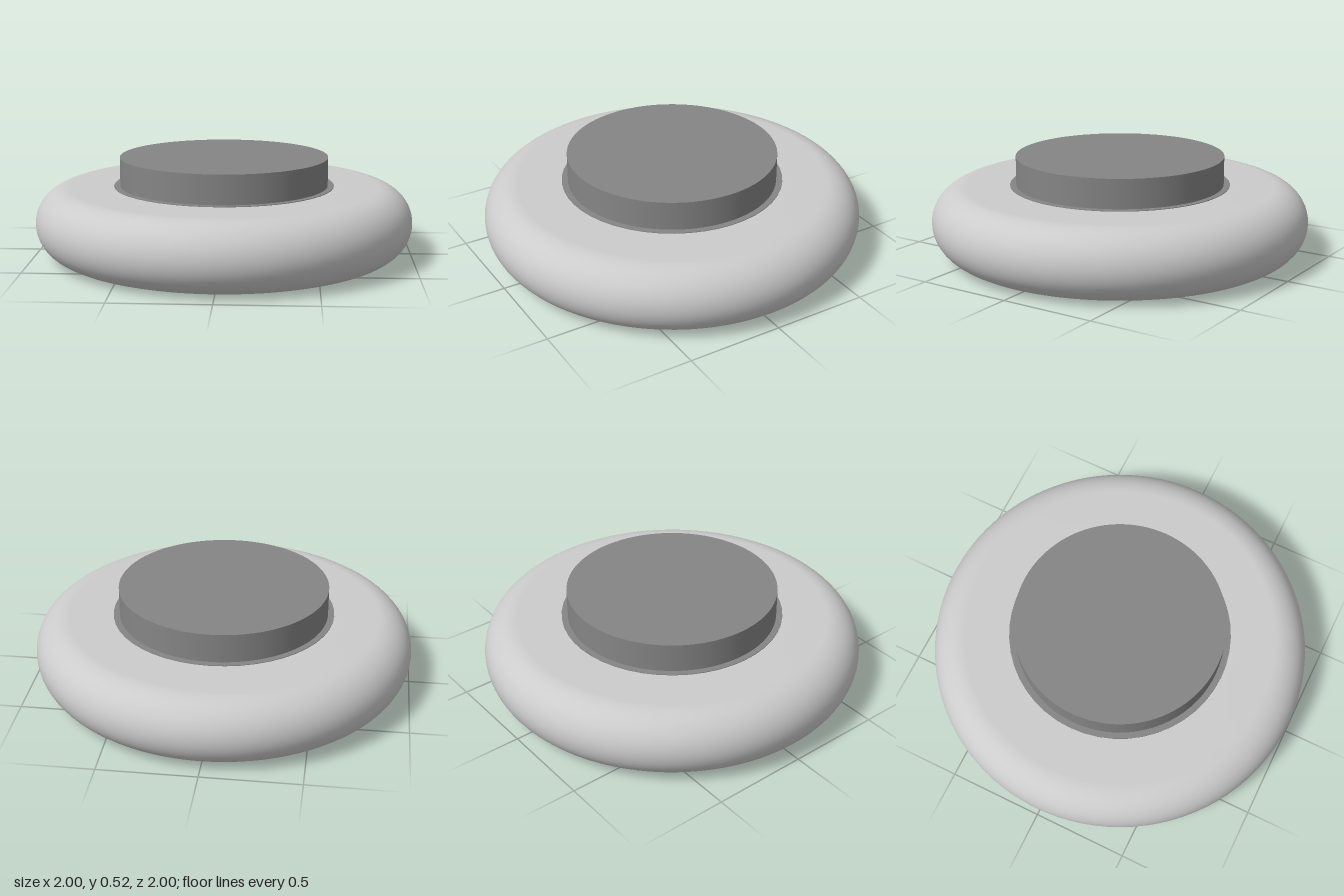
import * as THREE from 'three';

export function createModel() {
  const group = new THREE.Group();
  const pale = new THREE.MeshStandardMaterial({ color: 0xcccccc });
  const dark = new THREE.MeshStandardMaterial({ color: 0x858585 });

  const add = (name, geometry, material, y) => {
    const mesh = new THREE.Mesh(geometry, material);
    mesh.name = name;
    mesh.position.y = y;
    group.add(mesh);
  };

  // Rounded outer ring: flat faces with a half-round rim
  const bottom = 0.004, top = 0.369, inner = 0.55;
  const r = (top - bottom) / 2, mid = (top + bottom) / 2;
  const profile = [new THREE.Vector2(inner, bottom)];
  for (let i = 0; i <= 24; i++) {
    const a = -Math.PI / 2 + (Math.PI * i) / 24;
    profile.push(new THREE.Vector2(1 - r + r * Math.cos(a), mid + r * Math.sin(a)));
  }
  profile.push(new THREE.Vector2(inner, top));
  add('outerRing', new THREE.LatheGeometry(profile, 96), pale, 0);

  // Core disc filling the ring, almost flush with both faces
  add('coreDisc', new THREE.CylinderGeometry(0.585, 0.585, 0.372, 48), dark, 0.186);

  // Raised hub on top
  add('hub', new THREE.CylinderGeometry(0.552, 0.552, 0.225, 96), dark, 0.4125);

  return group;
}
